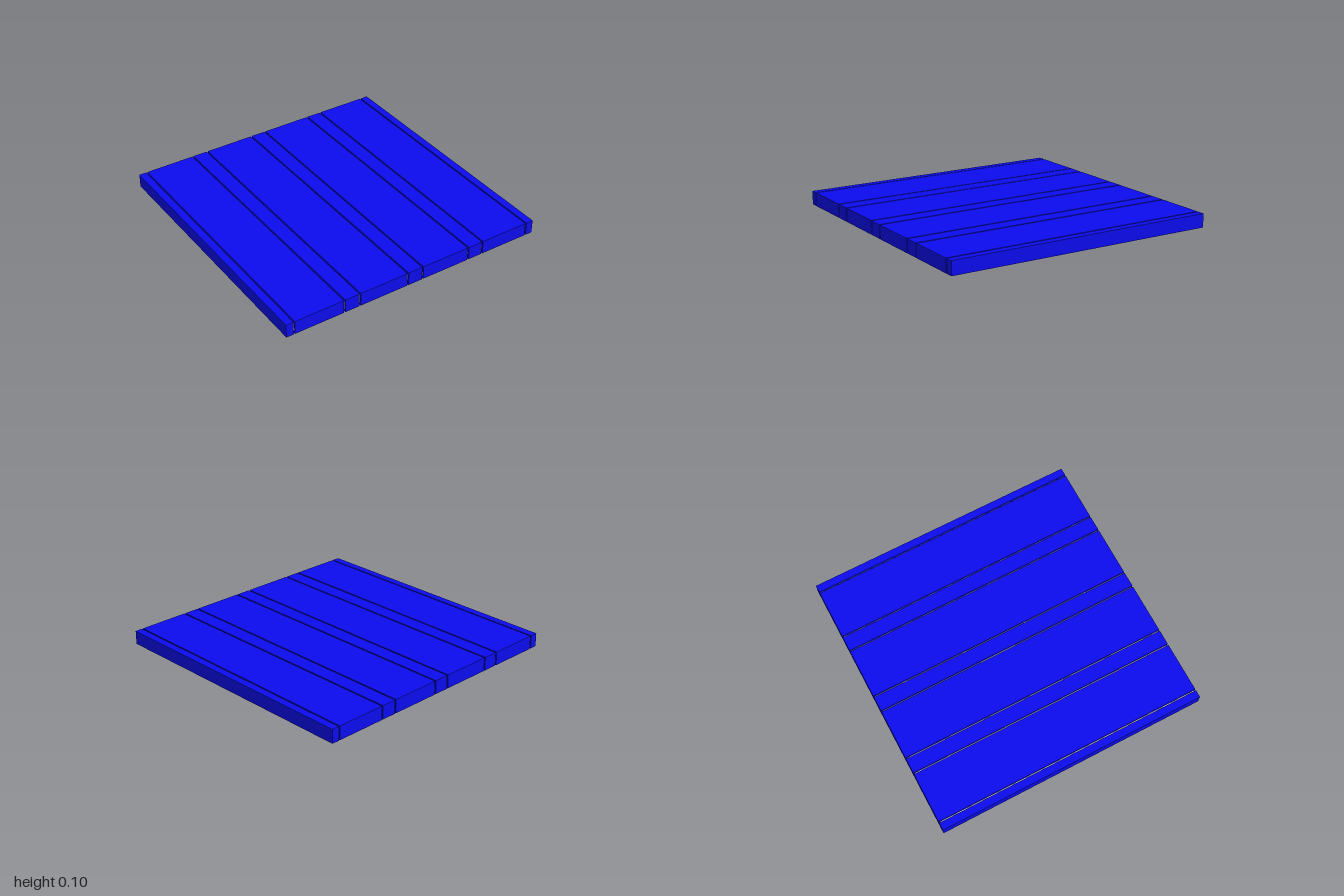
import * as THREE from 'three';

const HEIGHT = 0.1, PLATE = 0.02, END = 0.01, SLIT = 0.01, WINDOW = 0.3;

export function createModel() {
  const group = new THREE.Group();
  const blue = new THREE.MeshStandardMaterial({ color: 0x0c0cf0, flatShading: true });
  const grey = new THREE.MeshStandardMaterial({ color: 0xcccccc, flatShading: true });

  const add = (name, geometry, material, x = 0, y = 0, z = 0) => {
    const mesh = new THREE.Mesh(geometry, material);
    mesh.name = name;
    mesh.position.set(x, y, z);
    group.add(mesh);
  };
  const box = (name, material, w, h, d, x, y, z) =>
    add(name, new THREE.BoxGeometry(w, h, d), material, x, y, z);

  // Bottom plate of one band, pierced by a row of square windows
  const bottomPlate = (x0, x1, windowed) => {
    const shape = new THREE.Shape([[x0, -1], [x1, -1], [x1, 1], [x0, 1]]
      .map(([x, z]) => new THREE.Vector2(x, z)));
    if (windowed) {
      const cx = (x0 + x1) / 2, r = WINDOW / 2;
      for (const cz of [-0.75, -0.25, 0.25, 0.75]) {
        shape.holes.push(new THREE.Path([[-r, -r], [-r, r], [r, r], [r, -r]]
          .map(([x, z]) => new THREE.Vector2(cx + x, cz + z))));
      }
    }
    const geometry = new THREE.ExtrudeGeometry(shape, { depth: PLATE, bevelEnabled: false });
    return geometry.rotateX(-Math.PI / 2);
  };

  // Grey slab showing through the slits and windows
  box('core', grey, 2 - 2 * END, HEIGHT - 2 * PLATE, 2 - 2 * END, 0, HEIGHT / 2, 0);

  // Blue bands wrapped around the core, parted by narrow slits
  const slits = [-0.94, -0.56, -0.44, -0.06, 0.06, 0.44, 0.56, 0.94];
  for (let i = 0; i <= slits.length; i++) {
    const x0 = i === 0 ? -1 : slits[i - 1] + SLIT / 2;
    const x1 = i === slits.length ? 1 : slits[i] - SLIT / 2;
    const w = x1 - x0, x = (x0 + x1) / 2;
    const wide = i % 2 === 1;
    const name = wide ? 'panel' : 'rail';
    box(name + 'Top', blue, w, PLATE, 2, x, HEIGHT - PLATE / 2, 0);
    add(name + 'Bottom', bottomPlate(x0, x1, wide), blue);
    for (const s of [-1, 1]) {
      box(name + 'End', blue, w, HEIGHT - 2 * PLATE, END, x, HEIGHT / 2, s * (1 - END / 2));
    }
  }

  // Closed side walls
  for (const s of [-1, 1]) {
    box('sideWall', blue, END, HEIGHT - 2 * PLATE, 2 - 2 * END, s * (1 - END / 2), HEIGHT / 2, 0);
  }
  return group;
}
